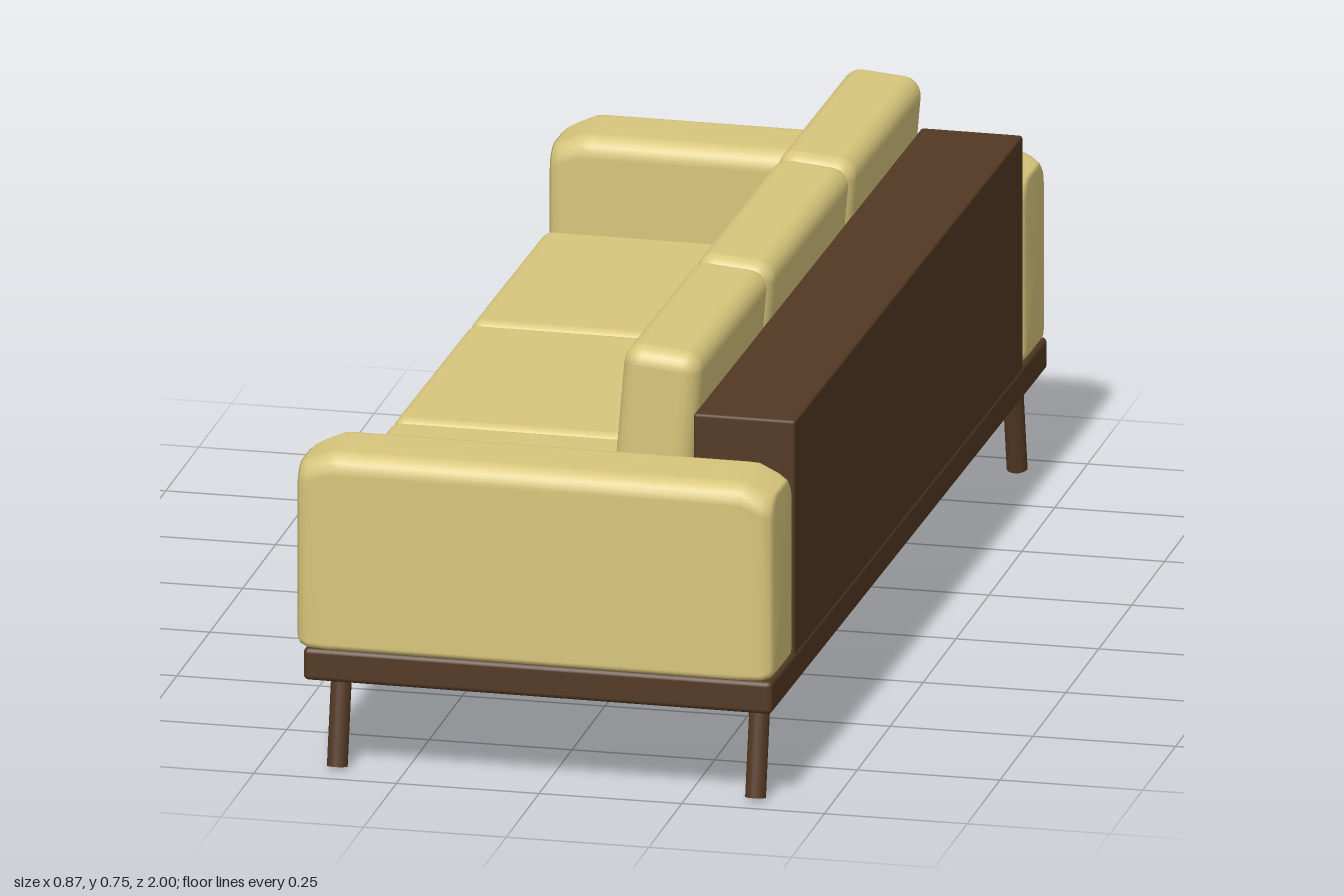
import * as THREE from 'three';
import { RoundedBoxGeometry } from 'three/addons/geometries/RoundedBoxGeometry.js';

const fabric = new THREE.MeshStandardMaterial({ color: 0xd8c67c });
const wood = new THREE.MeshStandardMaterial({ color: 0x533923 });

// Rounded box given by its limits on each axis
function block(name, material, [x0, x1], [y0, y1], [z0, z1], radius, segments = 3) {
  const geometry = new RoundedBoxGeometry(x1 - x0, y1 - y0, z1 - z0, segments, radius);
  const mesh = new THREE.Mesh(geometry, material);
  mesh.name = name;
  mesh.position.set((x0 + x1) / 2, (y0 + y1) / 2, (z0 + z1) / 2);
  return mesh;
}

// Rounded rectangle in the z-y plane, counter-clockwise from +z
function ring(halfWidth, bottom, top, topRadius, bottomRadius) {
  const points = [];
  const steps = 5;
  for (let q = 0; q < 4; q++) {
    const r = q < 2 ? topRadius : bottomRadius;
    const cz = (q === 0 || q === 3 ? 1 : -1) * (halfWidth - r);
    const cy = q < 2 ? top - r : bottom + r;
    for (let i = 0; i <= steps; i++) {
      const a = (q + i / steps) * Math.PI / 2;
      points.push([cz + r * Math.cos(a), cy + r * Math.sin(a)]);
    }
  }
  return points;
}

// Padded arm: rounded sections along x, with the top sloping down at both ends
function armGeometry() {
  const ends = [
    // x, half width, bottom, top
    [0.419, 0.062, 0.237, 0.548],
    [0.413, 0.073, 0.23, 0.553],
    [0.398, 0.082, 0.226, 0.56],
    [0.364, 0.085, 0.225, 0.575],
    [0.345, 0.085, 0.225, 0.576],
  ];
  const sections = [
    ...ends.map(([x, ...s]) => [-x, ...s]),
    ...ends.slice().reverse(),
  ];
  const positions = [];
  const index = [];
  let n = 0;
  for (const [x, w, bottom, top] of sections) {
    const points = ring(w, bottom, top, 0.036, 0.012);
    n = points.length;
    for (const [z, y] of points) positions.push(x, y, z);
  }
  const last = sections.length - 1;
  for (let i = 0; i < last; i++) {
    for (let j = 0; j < n; j++) {
      const k = (j + 1) % n;
      const a = i * n + j, b = i * n + k;
      index.push(a, a + n, b, b, a + n, b + n);
    }
  }
  // End caps
  const startCentre = positions.length / 3;
  positions.push(-0.419, 0.39, 0, 0.419, 0.39, 0);
  for (let j = 0; j < n; j++) {
    const k = (j + 1) % n;
    index.push(startCentre, j, k);
    index.push(startCentre + 1, last * n + k, last * n + j);
  }
  const geometry = new THREE.BufferGeometry();
  geometry.setAttribute('position', new THREE.Float32BufferAttribute(positions, 3));
  geometry.setIndex(index);
  geometry.computeVertexNormals();
  return geometry;
}

// Round leg between two points
function leg(from, to) {
  const direction = to.clone().sub(from);
  const mesh = new THREE.Mesh(new THREE.CylinderGeometry(0.018, 0.018, direction.length(), 16), wood);
  mesh.name = 'leg';
  mesh.position.copy(from).add(to).multiplyScalar(0.5);
  mesh.quaternion.setFromUnitVectors(new THREE.Vector3(0, 1, 0), direction.normalize());
  return mesh;
}

export function createModel() {
  const sofa = new THREE.Group();
  sofa.name = 'sofa';

  // Wooden frame
  sofa.add(block('basePlatform', wood, [-0.404, 0.42], [0.17, 0.228], [-0.995, 0.995], 0.009, 2));
  sofa.add(block('seatBox', wood, [-0.4, 0.26], [0.22, 0.345], [-0.82, 0.82], 0.004, 1));
  sofa.add(block('backPanel', wood, [0.24, 0.419], [0.222, 0.643], [-0.822, 0.822], 0.005, 1));

  // Arms
  const armShape = armGeometry();
  for (const side of [-1, 1]) {
    const arm = new THREE.Mesh(armShape, fabric);
    arm.name = side > 0 ? 'armFront' : 'armRear';
    arm.position.z = side * 0.909;
    sofa.add(arm);
  }

  // Seat cushions
  const seatSplits = [-0.822, -0.282, 0.276, 0.82];
  for (let i = 0; i < 3; i++) {
    sofa.add(block('seatCushion', fabric, [-0.424, 0.245], [0.33, 0.412],
      [seatSplits[i] + 0.001, seatSplits[i + 1] - 0.001], 0.022));
  }

  // Back cushions, leaning back against the panel
  const backSplits = [-0.817, -0.293, 0.295, 0.815];
  for (let i = 0; i < 3; i++) {
    const cushion = block('backCushion', fabric, [0.098, 0.236], [0.4, 0.748],
      [backSplits[i] + 0.001, backSplits[i + 1] - 0.001], 0.034, 4);
    cushion.rotation.z = -0.085;
    sofa.add(cushion);
  }

  // Splayed legs
  for (const x of [-0.356, 0.379]) {
    for (const side of [-1, 1]) {
      sofa.add(leg(new THREE.Vector3(x, 0.004, side * 0.943), new THREE.Vector3(x, 0.18, side * 0.908)));
    }
  }

  // The whole sofa is turned very slightly
  sofa.rotation.y = -0.0125;
  const model = new THREE.Group();
  model.add(sofa);
  return model;
}
